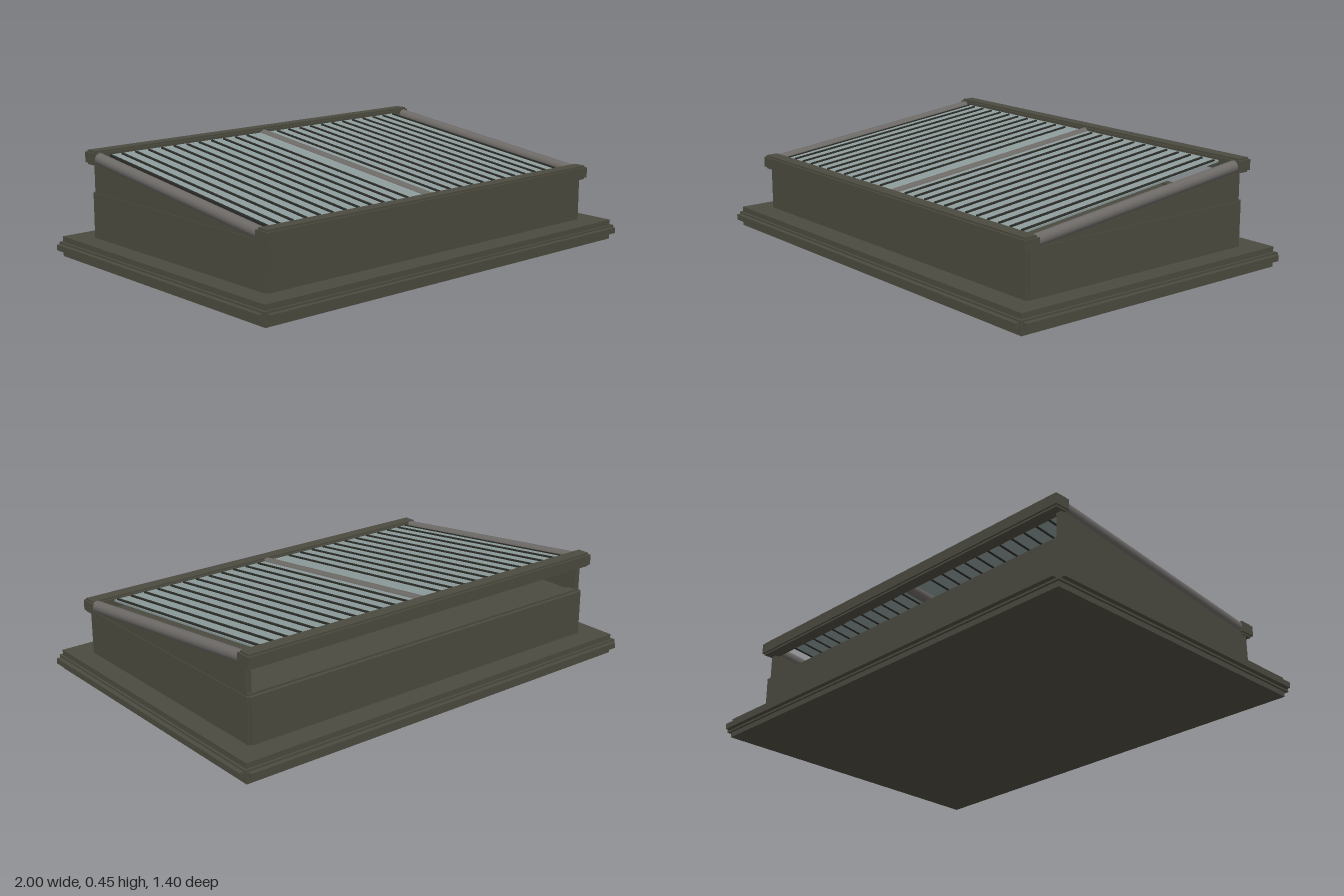
import * as THREE from 'three';

export function createModel() {
  const root = new THREE.Group();
  const paint = (name, color) => {
    const m = new THREE.MeshStandardMaterial({ color });
    m.name = name;
    return m;
  };
  const frame = paint('olive frame', 0x4c4b40);
  const tubeMetal = paint('grey tube', 0x6c6966);
  const barMetal = paint('dark bar', 0x2d2e2a);
  const glass = paint('pale glass', 0x8c9b9b);

  const add = (parent, name, geometry, material, x = 0, y = 0, z = 0) => {
    const mesh = new THREE.Mesh(geometry, material);
    mesh.name = name;
    mesh.position.set(x, y, z);
    parent.add(mesh);
    return mesh;
  };
  const box = (parent, name, material, w, h, d, x, y, z) =>
    add(parent, name, new THREE.BoxGeometry(w, h, d), material, x, y, z);

  // Plinth with a stepped bead that is notched at the corners
  box(root, 'plinth', frame, 1.94, 0.085, 1.34, 0, 0.0425, 0);
  box(root, 'plinthStep', frame, 1.96, 0.04, 1.36, 0, 0.042, 0);
  box(root, 'beadSides', frame, 2, 0.024, 1.34, 0, 0.042, 0);
  box(root, 'beadFrontBack', frame, 1.94, 0.024, 1.4, 0, 0.042, 0);

  // Curb with notched corners and a thin lip along the back
  box(root, 'curbSides', frame, 1.765, 0.195, 1.12, 0, 0.18, 0);
  box(root, 'curbFrontBack', frame, 1.745, 0.195, 1.14, 0, 0.18, 0);
  box(root, 'backLip', frame, 1.745, 0.012, 0.04, 0, 0.28, -0.535);

  // Wedge-shaped cheeks that carry the slope
  const wedge = new THREE.Shape([
    new THREE.Vector2(-0.55, 0.27), new THREE.Vector2(0.55, 0.27),
    new THREE.Vector2(0.55, 0.415), new THREE.Vector2(-0.55, 0.29),
  ]);
  for (const side of [-1, 1]) {
    const geometry = new THREE.ExtrudeGeometry(wedge, { depth: 0.025, bevelEnabled: false });
    geometry.rotateY(Math.PI / 2); // shape x runs towards the back
    add(root, side > 0 ? 'leftCheek' : 'rightCheek', geometry, frame, side * 0.867 - 0.0125, 0, 0);
  }

  // Front and back rails, each a stepped beam
  for (const [name, y, z] of [['frontRail', 0.295, 0.558], ['backRail', 0.424, -0.558]]) {
    const rail = new THREE.Group();
    rail.name = name;
    rail.position.set(0, y, z);
    box(rail, 'railWide', frame, 1.79, 0.044, 0.07, 0, 0, 0);
    box(rail, 'railTall', frame, 1.776, 0.06, 0.054, 0, 0, 0);
    root.add(rail);
  }

  // Sloping roof: tubes, glass and glazing bars
  const roof = new THREE.Group();
  roof.name = 'slopingRoof';
  roof.position.y = 0.36;
  roof.rotation.x = Math.atan2(0.129, 1.116);
  root.add(roof);

  for (const [name, x] of [['rightTube', -0.868], ['middleTube', -0.005], ['leftTube', 0.868]]) {
    const tube = new THREE.CylinderGeometry(0.025, 0.025, 1.1, 20);
    tube.rotateX(Math.PI / 2);
    add(roof, name, tube, tubeMetal, x, 0, 0);
  }
  box(roof, 'glassPane', glass, 1.61, 0.008, 1.06, -0.015, 0.009, 0);

  const bar = new THREE.BoxGeometry(0.01, 0.016, 1.02);
  for (let i = 0; i < 12; i++) {
    if (i < 11) add(roof, 'glazingBar', bar, barMetal, -0.77 + i * 0.0655, 0.011, 0);
    add(roof, 'glazingBar', bar, barMetal, 0.06 + i * 0.0655, 0.011, 0);
  }
  box(roof, 'rightEdgeBar', barMetal, 0.008, 0.016, 1.04, -0.822, 0.009, 0);
  return root;
}
